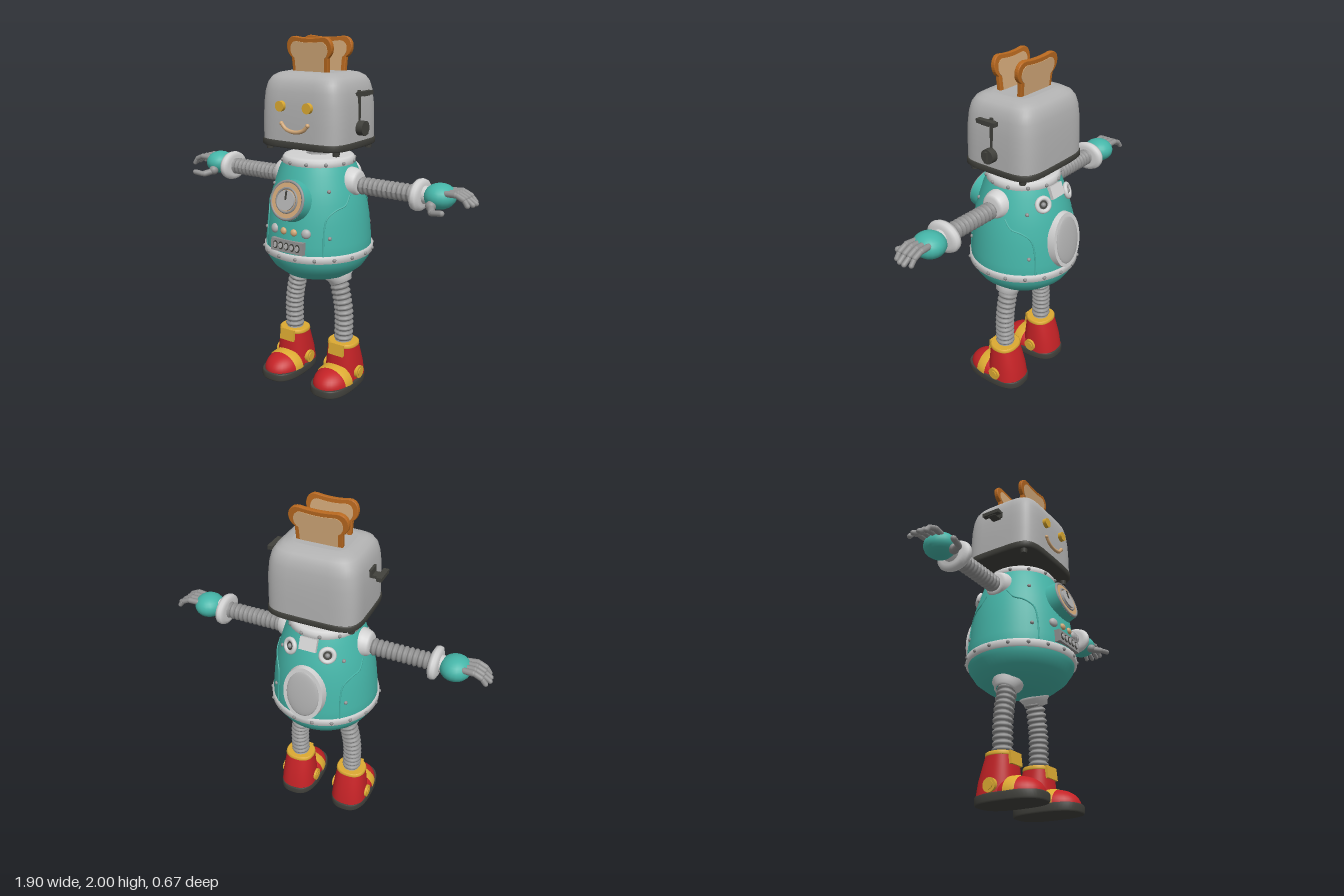
import * as THREE from 'three';

const mat = (name, color) => Object.assign(new THREE.MeshStandardMaterial({ color }), { name });
const V = (x, y, z) => new THREE.Vector3(x, y, z);

// Outer radius of the body by height, bottom to top
const BODY = [[0, .64], [.1, .65], [.2, .68], [.262, .73], [.295, .78], [.305, .83], [.302, .9], [.29, 1.02],
  [.272, 1.13], [.25, 1.2], [.225, 1.28], [.2, 1.335]];
function bodyR(y) {
  let i = 1;
  while (i < BODY.length - 1 && BODY[i][1] < y) i++;
  const [r0, y0] = BODY[i - 1], [r1, y1] = BODY[i];
  return r0 + (r1 - r0) * (y - y0) / (y1 - y0);
}

// Superellipse cross-section at one height
function section(y, hx, hz, cz = 0, p = 1, n = 48) {
  const pw = v => Math.sign(v) * Math.abs(v) ** p;
  return Array.from({ length: n }, (_, j) => {
    const a = j / n * Math.PI * 2;
    return V(hx * pw(Math.cos(a)), y, cz + hz * pw(Math.sin(a)));
  });
}

// Skin over cross-sections from bottom to top, with flat caps
function loft(sections) {
  const n = sections[0].length, pts = sections.flat(), idx = [];
  for (let i = 0; i < sections.length - 1; i++) for (let j = 0; j < n; j++) {
    const a = i * n + j, b = i * n + (j + 1) % n;
    idx.push(a, a + n, b, b, a + n, b + n);
  }
  [sections[0], sections[sections.length - 1]].forEach((s, top) => {
    const base = pts.length;
    pts.push(...s, s.reduce((c, p) => c.add(p), V(0, 0, 0)).divideScalar(n));
    for (let j = 0; j < n; j++) {
      const a = base + j, b = base + (j + 1) % n;
      idx.push(base + n, ...(top ? [b, a] : [a, b]));
    }
  });
  const g = new THREE.BufferGeometry().setFromPoints(pts);
  g.setIndex(idx);
  g.computeVertexNormals();
  return g;
}

// Flexible hose: a tube whose radius swells once per rib
function hose(points, r, ribs) {
  const curve = new THREE.CatmullRomCurve3(points), seg = ribs * 6, sides = 16;
  const g = new THREE.TubeGeometry(curve, seg, r, sides), pos = g.attributes.position, v = V();
  for (let k = 0; k < pos.count; k++) {
    const i = Math.floor(k / (sides + 1)), c = curve.getPointAt(i / seg);
    v.fromBufferAttribute(pos, k).sub(c).multiplyScalar(.74 + .26 * Math.abs(Math.sin(i / 6 * Math.PI))).add(c);
    pos.setXYZ(k, v.x, v.y, v.z);
  }
  g.computeVertexNormals();
  return g;
}

const lathe = (pts, seg = 40) => new THREE.LatheGeometry(pts.map(p => new THREE.Vector2(...p)), seg);
const box = (x, y, z) => new THREE.BoxGeometry(x, y, z);
const ball = r => new THREE.SphereGeometry(r, 20, 14);
const discZ = (r, d, n = 32) => new THREE.CylinderGeometry(r, r, d, n).rotateX(Math.PI / 2);
const discX = (r, d, n = 24) => new THREE.CylinderGeometry(r, r, d, n).rotateZ(Math.PI / 2);

export function createModel() {
  const steel = mat('steel', 0xb2b2b2), white = mat('pale metal', 0xd2d2d2), teal = mat('teal', 0x45b5a8),
    grey = mat('hose grey', 0x929292), dark = mat('dark', 0x41413c), red = mat('red', 0xc42226),
    yellow = mat('yellow', 0xdcaa32), crust = mat('crust', 0xb9691f), bread = mat('bread', 0xd2a878);
  const robot = new THREE.Group();
  robot.name = 'toasterRobot';

  function add(parent, name, geo, m, x = 0, y = 0, z = 0) {
    const mesh = new THREE.Mesh(geo, m);
    mesh.name = name;
    mesh.position.set(x, y, z);
    parent.add(mesh);
    return mesh;
  }
  function group(parent, name) {
    const g = new THREE.Group();
    g.name = name;
    parent.add(g);
    return g;
  }
  // Group on the body surface, its z axis pointing outward
  function onBody(name, angle, y) {
    const g = new THREE.Group(), r = bodyR(y), s = Math.sin(angle), c = Math.cos(angle);
    g.name = name;
    g.position.set(s * r, y, c * r);
    g.lookAt(s * (r + 1), y - (bodyR(y + .05) - bodyR(y - .05)) / .1, c * (r + 1));
    robot.add(g);
    return g;
  }
  function bone(parent, name, a, b, r, m) {
    const d = b.clone().sub(a);
    const mesh = add(parent, name, new THREE.CapsuleGeometry(r, d.length(), 4, 10), m, ...a.clone().add(b).multiplyScalar(.5));
    mesh.quaternion.setFromUnitVectors(V(0, 1, 0), d.normalize());
  }

  // Head
  const head = group(robot, 'head');
  const shell = [[1.45, .264, .232], [1.55, .264, .232], [1.65, .26, .229], [1.72, .252, .222], [1.765, .24, .21],
    [1.795, .22, .19], [1.812, .19, .16], [1.82, .15, .12]];
  add(head, 'headShell', loft(shell.map(([y, x, z]) => section(y, x, z, -.005, .4))), steel);
  add(head, 'headBase', loft([[1.42, .262, .23], [1.428, .27, .238], [1.452, .27, .238], [1.458, .266, .234]]
    .map(([y, x, z]) => section(y, x, z, -.005, .4))), dark);
  for (const x of [-.22, .22]) for (const z of [-.17, .16])
    add(head, 'headFoot', new THREE.CylinderGeometry(.022, .018, .03, 14), dark, x, 1.41, z);
  for (const x of [-.088, .088]) add(head, 'eye', discZ(.028, .03, 24), yellow, x, 1.645, .231);
  const smile = new THREE.CatmullRomCurve3([[-.085, 1.553], [-.055, 1.524], [0, 1.512], [.055, 1.524], [.085, 1.553]]
    .map(([x, y]) => V(x, y, .23)));
  add(head, 'mouth', new THREE.TubeGeometry(smile, 24, .011, 8), bread);
  for (const [x, y] of smile.points.filter((_, i) => i % 4 === 0).map(p => [p.x, p.y])) add(head, 'mouthEnd', ball(.012), bread, x, y, .23);
  // Levers and knob
  add(head, 'leverSlot', box(.012, .22, .016), dark, .26, 1.62, 0);
  add(head, 'leverArm', box(.07, .014, .05), dark, .275, 1.71, 0);
  add(head, 'leverPad', box(.03, .022, .12), dark, .295, 1.717, 0);
  add(head, 'knob', discX(.04, .045), dark, .28, 1.53, 0);
  add(head, 'knobGrip', box(.02, .06, .016), dark, .307, 1.53, 0);
  add(head, 'sideLeverArm', box(.07, .016, .05), dark, -.285, 1.66, 0);
  add(head, 'sideLeverPad', box(.03, .022, .11), dark, -.315, 1.667, 0);
  add(head, 'sideLeverPlate', box(.02, .04, .07), dark, -.258, 1.68, 0);

  // Toast slices
  const slice = k => {
    const s = new THREE.Shape();
    s.moveTo(-.12 * k, 0);
    s.lineTo(-.125 * k, .115);
    s.bezierCurveTo(-.175 * k, .14, -.165 * k, .225, -.1 * k, .22);
    s.quadraticCurveTo(0, .205, .1 * k, .22);
    s.bezierCurveTo(.165 * k, .225, .175 * k, .14, .125 * k, .115);
    s.lineTo(.12 * k, 0);
    return s;
  };
  for (const [z, k, lean] of [[.068, .9, .09], [-.068, 1.02, -.09]]) {
    const toast = group(head, 'toast');
    toast.position.set(0, 1.78, z);
    toast.rotation.x = lean;
    add(toast, 'crust', new THREE.ExtrudeGeometry(slice(k), { depth: .016, bevelSize: .004, bevelThickness: .005, bevelSegments: 2 }), crust, 0, 0, -.008);
    const face = new THREE.ExtrudeGeometry(slice(k), { depth: .032, bevelEnabled: false }).translate(0, -.12, -.016).scale(.84, .84, 1);
    add(toast, 'breadFace', face, bread, 0, .115, 0);
  }

  // Neck and body
  add(robot, 'neck', hose([V(0, 1.35, 0), V(0, 1.43, 0)], .072, 3), grey);
  add(robot, 'body', lathe(BODY, 56), teal);
  add(robot, 'collar', lathe([[.19, 1.31], [.207, 1.315], [.205, 1.345], [.195, 1.36], [.17, 1.365], [.0, 1.368]]), white);
  add(robot, 'waistBand', lathe([[.295, .806], [.314, .81], [.314, .848], [.295, .852]], 56), white);
  const ring = (name, n, r, y, m) => {
    for (let i = 0; i < n; i++) {
      const a = (i + .5) / n * Math.PI * 2;
      add(robot, name, new THREE.SphereGeometry(.011, 8, 6), m, Math.sin(a) * r, y, Math.cos(a) * r);
    }
  };
  ring('bandRivet', 18, .314, .829, grey);
  ring('collarRivet', 12, .206, 1.335, grey);

  // Raised panel seams with rivets
  for (const side of [1, -1]) for (const back of [0, 1]) {
    const at = (a, y) => { const t = back ? Math.PI - a * side : a * side; return V(Math.sin(t) * bodyR(y), y, Math.cos(t) * bodyR(y)); };
    const path = [[.68, .85], [.7, 1.0], [.76, 1.06], [.95, 1.1], [1.15, 1.12], [1.3, 1.17]].map(p => at(...p));
    add(robot, 'panelSeam', new THREE.TubeGeometry(new THREE.CatmullRomCurve3(path), 32, .005, 6), teal);
    for (const p of [[.8, .95], [.82, 1.2]]) add(robot, 'bodyRivet', ball(.011), grey, ...at(...p));
  }

  // Chest dial
  const dial = onBody('chestDial', 0, 1.145);
  add(dial, 'dialHousing', new THREE.CylinderGeometry(.113, .122, .1, 32).rotateX(Math.PI / 2), teal, 0, 0, -.015);
  add(dial, 'dialRim', new THREE.TorusGeometry(.103, .009, 8, 40), grey, 0, 0, .035);
  add(dial, 'dialFace', discZ(.098, .01), bread, 0, 0, .036);
  add(dial, 'dialRing', new THREE.TorusGeometry(.066, .007, 8, 32), grey, 0, 0, .04);
  add(dial, 'dialKnob', discZ(.055, .02), steel, 0, 0, .042);
  add(dial, 'dialPointer', box(.01, .05, .008), dark, 0, .027, .052);
  // Buttons and switch panel
  for (const [x, r, m] of [[-.105, .027, steel], [-.033, .02, bread], [.035, .02, bread], [.105, .027, steel]])
    add(onBody('button', Math.asin(x / .295), .975), 'buttonCap', ball(r).scale(1, 1, .7), m);
  const panel = onBody('switchPanel', 0, .895);
  add(panel, 'panelPlate', box(.21, .07, .06), grey, 0, 0, -.018);
  for (let i = -2; i <= 2; i++) {
    add(panel, 'switchSlot', discZ(.015, .008, 16).scale(1, 1.5, 1), dark, i * .037, 0, .011);
    add(panel, 'switch', discZ(.01, .008, 16).scale(1, 1.5, 1), steel, i * .037, 0, .016);
  }

  // Back hatch, vents and collar flap
  const hatch = onBody('backHatch', Math.PI, 1.01);
  add(hatch, 'hatchFrame', new THREE.CylinderGeometry(.94, 1, .075, 40).rotateX(Math.PI / 2).scale(.125, .172, 1), white, 0, 0, -.02);
  add(hatch, 'hatchDoor', ball(1).scale(.098, .14, .016), steel, 0, 0, .016);
  for (const s of [-1, 1]) {
    const vent = onBody('backVent', Math.PI + s * .46, 1.245);
    add(vent, 'ventRim', new THREE.TorusGeometry(.036, .013, 10, 28), white, 0, 0, .012);
    add(vent, 'ventHole', discZ(.034, .03), dark);
    add(vent, 'ventHub', ball(.014), grey, 0, 0, .014);
  }
  add(onBody('collarFlap', Math.PI, 1.29), 'flapPlate', box(.1, .07, .03), white);

  // Limbs, built on the +x side and mirrored
  for (const side of [1, -1]) {
    const limbs = group(robot, side > 0 ? 'leftLimbs' : 'rightLimbs');
    limbs.scale.x = side;

    // Arm
    const arm = group(limbs, 'arm');
    const turn = g => g.rotateZ(-Math.PI / 2);
    add(arm, 'shoulder', turn(lathe([[.075, .16], [.084, .2], [.08, .235], [.068, .265], [.055, .277], [0, .278]], 28)), white, 0, 1.228, 0);
    add(arm, 'armHose', hose([V(.25, 1.215, 0), V(.44, 1.215, 0), V(.63, 1.215, 0)], .05, 13), grey);
    add(arm, 'cuff', turn(lathe([[0, -.024], [.07, -.026], [.095, -.016], [.1, 0], [.095, .016], [.07, .026], [0, .03]], 32)).scale(1, .86, 1.08), white, .638, 1.215, 0);
    add(arm, 'wrist', discX(.048, .06), white, .675, 1.218, 0);
    add(arm, 'palm', ball(1).scale(.085, .068, .09), teal, .748, 1.222, -.008);
    for (let i = 0; i < 4; i++) {
      const z = -.06 + i * .034, tip = .945 - [.015, 0, .004, .018][i];
      bone(arm, 'fingerBase', V(.8, 1.25, z * .9), V(.85, 1.253, z), .017, grey);
      bone(arm, 'fingerMiddle', V(.862, 1.25, z), V(.895, 1.235, z), .015, grey);
      bone(arm, 'fingerTip', V(.905, 1.225, z), V(tip - .008, 1.205, z), .0135, grey);
    }
    add(arm, 'thumbJoint', ball(.028), grey, .735, 1.185, .072);
    bone(arm, 'thumbBase', V(.74, 1.178, .08), V(.765, 1.168, .125), .019, grey);
    bone(arm, 'thumbTip', V(.775, 1.168, .132), V(.825, 1.175, .14), .016, grey);

    // Leg
    const leg = group(limbs, 'leg');
    add(leg, 'hipFlange', lathe([[.05, -.04], [.064, -.038], [.07, -.015], [.088, .008], [.088, .03], [.05, .045]], 28), white, .143, .66, 0).rotation.z = .4;
    add(leg, 'legHose', hose([V(.125, .67, 0), V(.15, .59, 0), V(.176, .45, 0), V(.176, .24, 0)], .057, 14), grey);

    // Boot
    const boot = group(leg, 'boot');
    boot.position.x = .177;
    add(boot, 'sole', loft([[0, .115], [.008, .12], [.04, .12], [.046, .116]].map(([y, x]) => section(y, x, x + .08, .058, .75))), dark);
    add(boot, 'bootShaft', loft([[.04, .11, .115, -.018], [.12, .104, .106, -.014], [.2, .094, .09, -.006], [.25, .088, .079, 0]]
      .map(([y, x, z, c]) => section(y, x, z, c, .85))), red);
    add(boot, 'bootToe', new THREE.SphereGeometry(1, 32, 12, 0, Math.PI * 2, 0, Math.PI / 2).scale(.112, .092, .148), red, 0, .042, .1);
    const strap = new THREE.SphereGeometry(1, 24, 6, Math.PI, Math.PI, 1.2, .42).rotateX(Math.PI / 2).scale(.117, .098, .155);
    add(boot, 'toeStrap', strap, yellow, 0, .042, .086);
    add(boot, 'bootRim', loft([[.243, .089, .08], [.248, .092, .083], [.262, .09, .081], [.266, .085, .076]].map(([y, x, z]) => section(y, x, z, 0, .85))), yellow);
    add(boot, 'bootTongue', box(.1, .07, .02), yellow, 0, .23, .077).rotation.x = -.12;
    for (const s of [-1, 1]) {
      add(boot, 'ankleDisc', discX(.038, .03), yellow, s * .103, .085, 0);
      add(boot, 'ankleStud', discX(.024, .006), yellow, s * .12, .085, 0);
    }
  }
  return robot;
}
